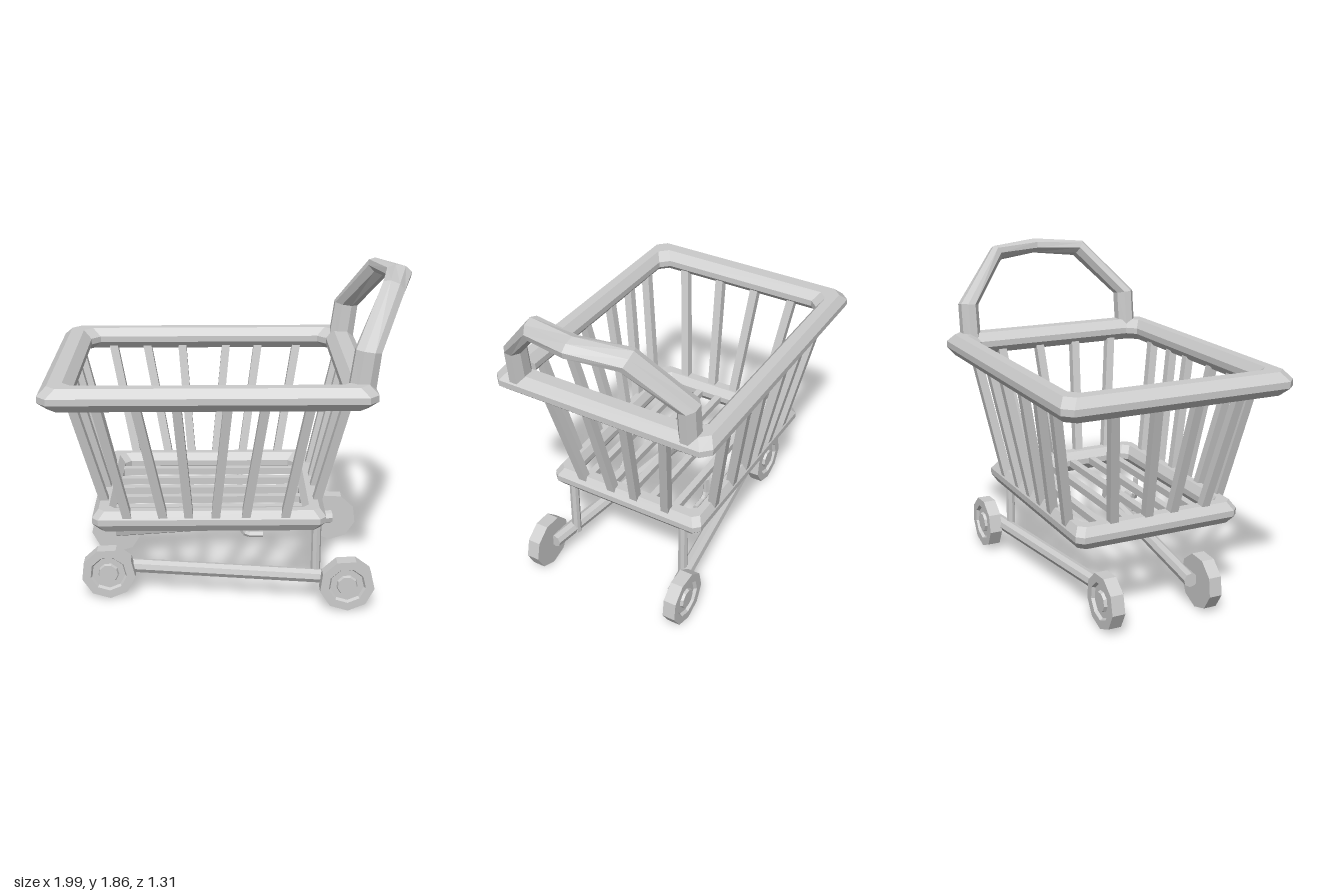
import * as THREE from 'three';

const grey = new THREE.MeshStandardMaterial({ color: 0xcccccc, flatShading: true });
const V = (x, y, z) => new THREE.Vector3(x, y, z);
const UP = V(0, 1, 0);

function add(parent, name, geometry) {
  const mesh = new THREE.Mesh(geometry, grey);
  mesh.name = name;
  parent.add(mesh);
  return mesh;
}

// Straight bar from a to b; four sides gives a square bar of half-width r
function bar(parent, name, a, b, r, sides = 8) {
  const d = b.clone().sub(a);
  const geo = sides === 4
    ? new THREE.BoxGeometry(2 * r, d.length(), 2 * r)
    : new THREE.CylinderGeometry(r, r, d.length(), sides);
  const mesh = add(parent, name, geo);
  mesh.position.copy(a).add(b).multiplyScalar(0.5);
  mesh.quaternion.setFromUnitVectors(UP, d.normalize());
  return mesh;
}

// Skin through equal-length closed sections
function loft(sections, closed) {
  const n = sections.length, m = sections[0].length, index = [];
  for (let i = 0; i < (closed ? n : n - 1); i++) {
    for (let j = 0; j < m; j++) {
      const k = (i + 1) % n, l = (j + 1) % m;
      const a = i * m + j, b = k * m + j, c = k * m + l, d = i * m + l;
      index.push(a, b, c, a, c, d);
    }
  }
  const geo = new THREE.BufferGeometry().setFromPoints(sections.flat());
  geo.setIndex(index);
  geo.computeVertexNormals();
  return geo;
}

// Rectangular ring with cut corners and a bevelled profile
function ringFrame(hx, hz, wx, wz, y0, y1, cut) {
  const b = (y1 - y0) * 0.36;
  const profile = [[0.28, y0], [0, y0 + b], [0, y1 - b], [0.28, y1],
    [0.72, y1], [1, y1 - b], [1, y0 + b], [0.72, y0]];
  const sections = [];
  for (const [sx, sz, first] of [[1, 1, 0], [1, -1, 1], [-1, -1, 0], [-1, 1, 1]]) {
    for (const step of [0, 1]) {
      const onX = (step + first) % 2 === 1; // which side of the cut corner
      sections.push(profile.map(([f, y]) => V(
        -0.125 + sx * (hx - f * wx - (onX ? 0 : cut)), y,
        sz * (hz - f * wz - (onX ? cut : 0)))));
    }
  }
  return loft(sections, true);
}

export function createModel() {
  const root = new THREE.Group();
  root.name = 'shoppingCart';

  // Basket rims
  add(root, 'upperRim', ringFrame(0.875, 0.655, 0.17, 0.125, 1.23, 1.355, 0.05));
  add(root, 'lowerRim', ringFrame(0.64, 0.48, 0.125, 0.095, 0.48, 0.6, 0.035));

  // Basket posts on the long sides
  const yTop = 1.27, yLow = 0.56;
  const topX = [-0.71, -0.505, -0.29, -0.02, 0.175, 0.41];
  const lowX = [-0.57, -0.375, -0.235, -0.09, 0.075, 0.29];
  for (const s of [1, -1]) {
    topX.forEach((x, i) =>
      bar(root, 'sidePost', V(lowX[i], yLow, s * 0.45), V(x, yTop, s * 0.58), 0.024, 4));
  }

  // Basket posts on the two ends
  const topZ = [0.39, 0.145, -0.095, -0.34];
  const lowZ = [0.28, 0.09, -0.055, -0.255];
  topZ.forEach((z, i) => {
    bar(root, 'frontPost', V(-0.7, yLow, lowZ[i]), V(-0.875, yTop, z), 0.024, 4);
    bar(root, 'backPost', V(0.47, yLow, lowZ[i]), V(0.635, yTop, z), 0.024, 4);
  });

  // Floor slats
  for (const z of [-0.27, -0.12, 0.02, 0.15, 0.29]) {
    bar(root, 'floorSlat', V(-0.68, 0.54, z), V(0.43, 0.54, z), 0.02, 4);
  }

  // Push handle: oval sections along an arch, u across and v outwards
  const half = [
    [V(0.67, 1.3, 0.515), V(0.072, 0, 0), V(0, 0, 0.054)],
    [V(0.697, 1.52, 0.515), V(0.068, -0.01, 0), V(0, 0.005, 0.054)],
    [V(0.848, 1.79, 0.272), V(0.06, -0.024, 0), V(0.005, 0.037, 0.024)],
  ];
  const flip = (p) => V(p.x, p.y, -p.z);
  const arch = [...half,
    [V(0.918, 1.812, 0), V(0.07, -0.012, 0), V(0.008, 0.042, 0)],
    ...half.map((s) => s.map(flip)).reverse()];
  add(root, 'handle', loft(arch.map(([c, u, v]) => Array.from({ length: 8 }, (_, j) => {
    const t = (j + 0.5) * Math.PI / 4;
    return c.clone().addScaledVector(u, Math.cos(t) * 1.06).addScaledVector(v, Math.sin(t) * 1.06);
  })), false));

  // Wheel with a recessed face and a flush hub
  const wheelGeo = new THREE.LatheGeometry(
    [[0, -0.037], [0.154, -0.037], [0.154, 0.037], [0.105, 0.037], [0.095, 0.02],
      [0.06, 0.02], [0.054, 0.037], [0, 0.037]].map(([r, y]) => new THREE.Vector2(r, y)), 9);
  wheelGeo.rotateY(0.05);
  wheelGeo.rotateX(Math.PI / 2);

  // Undercarriage, mirrored
  for (const s of [1, -1]) {
    bar(root, 'chassisBar', V(-0.7, 0.165, s * 0.225), V(0.64, 0.165, s * 0.405), 0.04, 8);
    bar(root, 'leg', V(0.472, 0.14, s * 0.363), V(0.472, 0.5, s * 0.363), 0.027, 8);
    for (const [x, z] of [[-0.7, 0.293], [0.64, 0.455]]) {
      const wheel = add(root, x < 0 ? 'frontWheel' : 'backWheel', wheelGeo);
      wheel.position.set(x, 0.153, s * z);
      if (s < 0) wheel.rotation.y = Math.PI;
    }
    // Bent hook below the basket
    const z = s * 0.28;
    const hook = [V(0.058, 0.51, z), V(0.058, 0.415, z), V(0.072, 0.387, z), V(0.1, 0.375, z), V(0.178, 0.375, z)];
    for (let i = 0; i < hook.length - 1; i++) bar(root, 'hook', hook[i], hook[i + 1], 0.018, 6);
  }
  return root;
}
